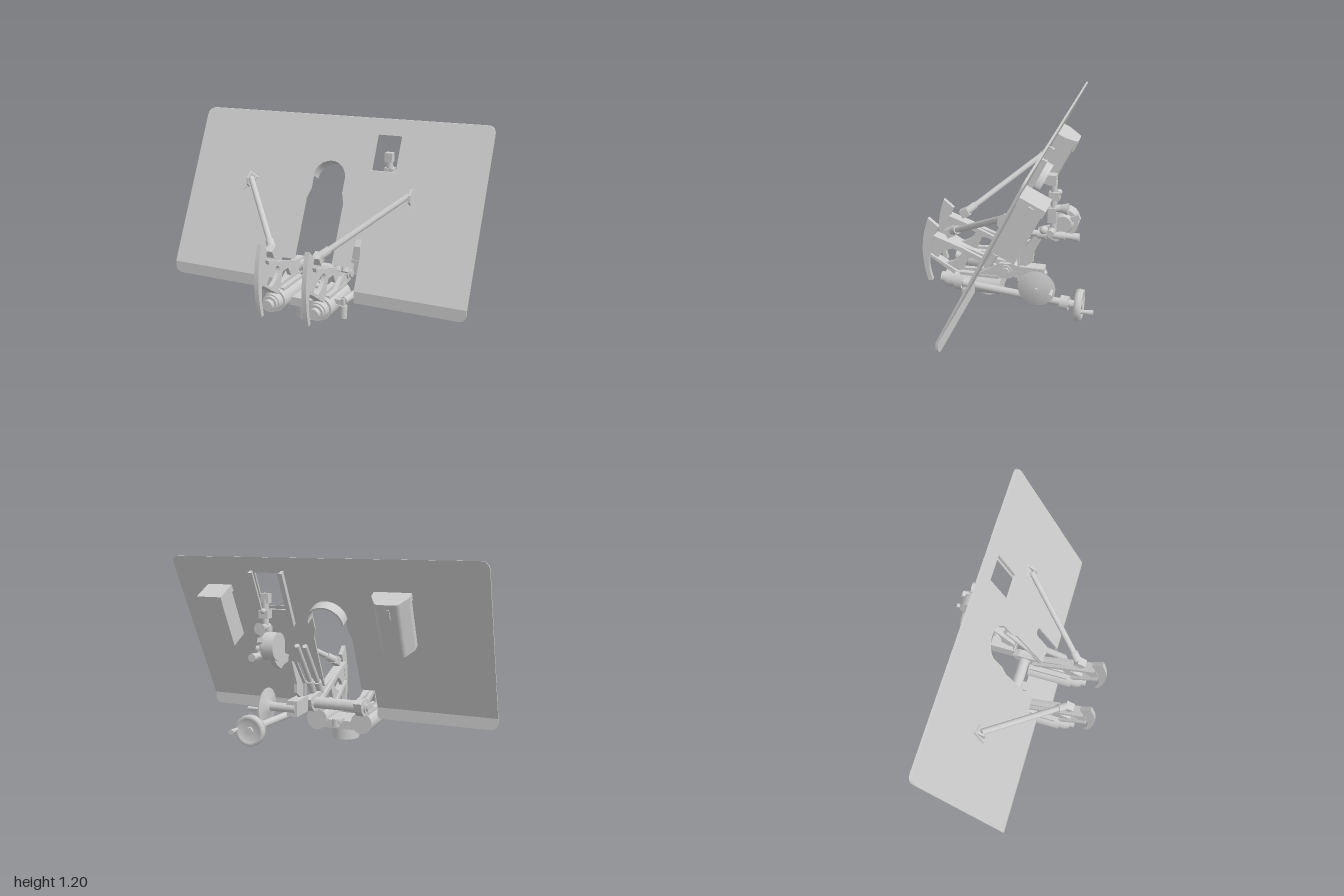
import * as THREE from 'three';

const TILT = 0.459, BEND = 0.216;
const V = (a) => new THREE.Vector3(...a);
const zAt = (y) => 0.195 - Math.max(0, y - BEND) * 0.494; // shield surface depth at a height

export function createModel() {
  const root = new THREE.Group();
  root.name = 'shieldedMount';
  const mat = new THREE.MeshStandardMaterial({ color: 0xcccccc, side: THREE.DoubleSide });

  const add = (name, geo, pos = [0, 0, 0], parent = root) => {
    const m = new THREE.Mesh(geo, mat);
    m.name = name;
    m.position.set(...pos);
    parent.add(m);
    return m;
  };
  const box = (name, size, pos, parent) => add(name, new THREE.BoxGeometry(...size), pos, parent);
  // cylinder between two points
  const rod = (name, a, b, r, r2 = r, sides = 24, parent = root) => {
    const d = V(b).sub(V(a));
    const m = add(name, new THREE.CylinderGeometry(r2, r, d.length(), sides), V(a).add(V(b)).multiplyScalar(0.5).toArray(), parent);
    m.quaternion.setFromUnitVectors(new THREE.Vector3(0, 1, 0), d.normalize());
    return m;
  };
  const poly = (pts) => new THREE.Shape(pts.map((p) => new THREE.Vector2(...p)));
  // shape drawn in (z, y), extruded across x
  const sidePlate = (name, shape, x, t) => {
    const g = new THREE.ExtrudeGeometry(shape, { depth: t, bevelEnabled: false, curveSegments: 12 });
    return add(name, g.translate(0, 0, -t / 2).rotateY(-Math.PI / 2), [x, 0, 0]);
  };
  // shape drawn in (x, y), sheared back to the slope of the shield
  const panel = (name, shape) => {
    const g = new THREE.ExtrudeGeometry(shape, { depth: 0.014, bevelEnabled: false, curveSegments: 16 });
    const p = g.attributes.position;
    for (let i = 0; i < p.count; i++) p.setZ(i, p.getZ(i) - 0.007 + zAt(p.getY(i)));
    g.computeVertexNormals();
    return add(name, g);
  };
  // local frame lying on the shield
  const onShield = (name, x, y) => {
    const g = new THREE.Group();
    g.name = name;
    g.position.set(x, y, zAt(y));
    g.rotation.x = -TILT;
    root.add(g);
    return g;
  };

  // shield
  const s = new THREE.Shape();
  s.moveTo(1, BEND).lineTo(1, 1.145).quadraticCurveTo(1, 1.2, 0.945, 1.2);
  s.lineTo(-0.945, 1.2).quadraticCurveTo(-1, 1.2, -1, 1.145).lineTo(-1, BEND);
  for (const p of [[-0.22, BEND], [-0.22, 0.34], [-0.13, 0.34], [-0.13, 0.69], [-0.11, 0.75], [-0.11, 0.83]]) s.lineTo(...p);
  s.absellipse(0, 0.83, 0.11, 0.1, Math.PI, 0, true);
  for (const p of [[0.11, 0.75], [0.13, 0.69], [0.13, 0.34], [0.25, 0.34], [0.25, 0.477]]) s.lineTo(...p);
  s.absarc(0.2775, 0.477, 0.0275, Math.PI, 0, true);
  s.lineTo(0.305, BEND).lineTo(1, BEND);
  s.holes.push(poly([[0.265, 0.895], [0.265, 1.105], [0.435, 1.105], [0.435, 0.895]]));
  panel('shield', s);
  for (const [sx, inner] of [[1, 0.305], [-1, 0.22]]) {
    const b = new THREE.Shape();
    b.moveTo(sx * inner, BEND).lineTo(sx, BEND).lineTo(sx, 0.19).quadraticCurveTo(sx, 0.14, sx * 0.95, 0.14).lineTo(sx * inner, 0.14);
    panel('shieldLowerLip', b);
  }

  // collar behind the arch of the opening
  const arch = new THREE.Shape();
  arch.absarc(0, 0, 0.122, 0, Math.PI, false);
  arch.absarc(0, 0, 0.11, Math.PI, 0, true);
  add('archCollar', new THREE.ExtrudeGeometry(arch, { depth: 0.08, bevelEnabled: false, curveSegments: 20 }).translate(0, 0, -0.08), [0, 0, 0], onShield('archFrame', 0, 0.83));

  // window slide rails
  const win = onShield('sightWindow', 0.35, 0.95);
  for (const sx of [-1, 1]) {
    box('windowRail', [0.018, 0.38, 0.028], [sx * 0.105, 0, -0.02], win);
    box('windowRailLip', [0.03, 0.38, 0.008], [sx * 0.1, 0, -0.034], win);
  }
  box('windowSill', [0.2, 0.1, 0.008], [0, -0.13, -0.014], win);

  // straight chest on the left
  const chest = onShield('leftChest', 0.705, 0.857);
  box('chestBody', [0.155, 0.34, 0.14], [0, -0.01, -0.083], chest);
  box('chestLid', [0.17, 0.045, 0.155], [0, 0.165, -0.083], chest);
  box('chestLatch', [0.012, 0.075, 0.028], [0.083, 0.09, -0.085], chest);
  box('chestLatchHook', [0.014, 0.04, 0.03], [0.088, 0.15, -0.085], chest);
  // tapered chest on the right
  const chest2 = onShield('rightChest', -0.435, 0.845);
  const trap = (k) => {
    const t = new THREE.Shape();
    t.moveTo(-0.115 * k, 0).lineTo(-0.115 * k, 0.05).lineTo(-0.075 * k, 0.125 * k).quadraticCurveTo(-0.065 * k, 0.14 * k, -0.045 * k, 0.14 * k);
    t.lineTo(0.045 * k, 0.14 * k).quadraticCurveTo(0.065 * k, 0.14 * k, 0.075 * k, 0.125 * k).lineTo(0.115 * k, 0.05).lineTo(0.115 * k, 0);
    return t;
  };
  const prism = (k, h) => new THREE.ExtrudeGeometry(trap(k), { depth: h, bevelEnabled: false }).rotateX(-Math.PI / 2);
  add('chestBody', prism(0.95, 0.32), [0, -0.18, -0.006], chest2);
  add('chestLid', prism(1, 0.045), [0, 0.14, -0.006], chest2);
  box('chestLatch', [0.028, 0.07, 0.012], [0, 0.12, -0.144], chest2);

  // paired sides: recoil-type housings, sector frames and shield stays
  for (const sx of [-1, 1]) {
    const x = sx * 0.155;
    const steps = [[0.05, 0.355, 0.071], [0.355, 0.405, 0.058], [0.405, 0.425, 0.05], [0.425, 0.455, 0.034]];
    for (const [z0, z1, r] of steps) rod('housing', [x, 0.135, z0], [x, 0.135, z1], r);
    box('housingTop', [0.09, 0.05, 0.26], [x, 0.185, 0.19]);

    const blade = new THREE.Shape();
    blade.moveTo(0.53, 0.55);
    blade.splineThru([[0.562, 0.44], [0.576, 0.32], [0.568, 0.2], [0.547, 0.1]].map((p) => new THREE.Vector2(...p)));
    blade.lineTo(0.518, 0.105);
    blade.splineThru([[0.537, 0.2], [0.53, 0.3], [0.508, 0.39]].map((p) => new THREE.Vector2(...p)));
    blade.lineTo(0.463, 0.495);
    sidePlate('sectorBlade', blade, x, 0.028);

    const web = poly([[0.49, 0.435], [0.1, 0.315], [0, 0.305], [-0.045, 0.26], [0, 0.215], [0.12, 0.205], [0.34, 0.185], [0.53, 0.3]]);
    const h1 = new THREE.Path();
    h1.absellipse(0.395, 0.3, 0.09, 0.042, 0, Math.PI * 2, true, -0.5);
    web.holes.push(h1, poly([[0.16, 0.235], [0.2, 0.3], [0.27, 0.3], [0.3, 0.225]]));
    sidePlate('sectorWeb', web, x, 0.026);

    // flanges on the web and the tapered lower knee
    sidePlate('upperFlange', poly([[0.49, 0.442], [0.48, 0.415], [0.09, 0.255], [0.07, 0.275], [0.3, 0.375]]), x, 0.07);
    sidePlate('lowerFlange', poly([[0.52, 0.305], [0.525, 0.29], [0.36, 0.18], [0.32, 0.19]]), x, 0.06);
    sidePlate('trunnionKnee', poly([[0.09, 0.275], [0.06, 0.3], [-0.03, 0.305], [-0.07, 0.29], [-0.05, 0.235], [-0.01, 0.2], [0.2, 0.185], [0.2, 0.21]]), sx * 0.17, 0.05);
    rod('trunnionCap', [sx * 0.13, 0.255, 0.015], [sx * 0.205, 0.255, 0.015], 0.038);
    rod('trunnionNut', [sx * 0.2, 0.255, 0.015], [sx * 0.22, 0.255, 0.015], 0.028, 0.028, 6);

    // stay from sector to shield
    box('stayFork', [0.05, 0.055, 0.06], [x, 0.465, 0.385]).rotation.x = 0.5;
    rod('shieldStay', [sx * 0.16, 0.475, 0.37], [sx * 0.545, 0.78, -0.06], 0.019);
    rod('stayCollar', [sx * 0.16, 0.475, 0.37], [sx * 0.2, 0.507, 0.325], 0.026);
    panel('stayFoot', poly([[sx * 0.5, 0.79], [sx * 0.57, 0.82], [sx * 0.59, 0.71]])).position.z = 0.012;
    sidePlate('stayGusset', poly([[zAt(0.815), 0.815], [zAt(0.72), 0.72], [-0.03, 0.745], [-0.035, 0.785], [-0.07, 0.815]]), sx * 0.56, 0.014);
  }

  // pedestal and cross members
  const ring = [[0.075, 0], [0.09, 0], [0.09, 0.085], [0, 0.085], [0, 0.07], [0.075, 0.07], [0.075, 0]];
  for (let i = 1; i < ring.length; i++)
    add('pedestal', new THREE.LatheGeometry([ring[i - 1], ring[i]].map((p) => new THREE.Vector2(...p)), 32), [0, 0, 0.18]);
  box('baseBlock', [0.22, 0.055, 0.21], [0, 0.11, 0.165]);
  rod('crossTube', [-0.15, 0.257, 0.01], [0.15, 0.257, 0.01], 0.037);
  rod('lowerBolt', [0, 0.115, 0.0], [0, 0.165, 0.0], 0.026, 0.026, 8);
  box('lowerBoltArm', [0.06, 0.02, 0.09], [0, 0.145, 0.03]);

  // traversing shaft with handwheel
  rod('traverseShaft', [0.27, 0.175, 0.27], [0.355, 0.175, -0.37], 0.023);
  rod('shaftPost', [0.27, 0.065, 0.27], [0.27, 0.145, 0.27], 0.022);
  rod('shaftPostNeck', [0.27, 0.14, 0.27], [0.27, 0.19, 0.27], 0.014);
  box('shaftBracket', [0.08, 0.03, 0.06], [0.235, 0.165, 0.25]);
  rod('shaftHub', [0.355, 0.175, -0.365], [0.36, 0.175, -0.415], 0.043);
  rod('shaftNeck', [0.36, 0.175, -0.41], [0.36, 0.175, -0.5], 0.024);
  const rim = [[0.02, -0.008], [0.065, -0.008], [0.072, -0.022], [0.093, -0.022], [0.096, 0], [0.093, 0.022], [0.072, 0.022], [0.065, 0.008], [0.02, 0.008]];
  add('traverseWheel', new THREE.LatheGeometry(rim.map((p) => new THREE.Vector2(...p)), 32).rotateX(Math.PI / 2), [0.36, 0.175, -0.478]);
  rod('wheelHandle', [0.44, 0.178, -0.49], [0.44, 0.18, -0.572], 0.011, 0.016);

  // elevating disc with crank knob
  const lens = [[0, -0.03], [0.035, -0.03], [0.04, -0.012], [0.115, -0.005], [0.115, 0.005], [0.04, 0.018], [0, 0.02]];
  add('elevatingDisc', new THREE.LatheGeometry(lens.map((p) => new THREE.Vector2(...p)), 40).rotateZ(-Math.PI / 2), [0.38, 0.265, -0.22]);
  rod('discShaft', [0.18, 0.265, -0.22], [0.37, 0.265, -0.22], 0.028);
  rod('discNut', [0.395, 0.265, -0.22], [0.412, 0.265, -0.22], 0.013, 0.013, 6);
  rod('discKnob', [0.38, 0.265, -0.315], [0.46, 0.265, -0.315], 0.01, 0.013);
  box('gearCase', [0.07, 0.1, 0.17], [0.2, 0.265, -0.15]);

  // sight support arm and parallel rods
  const arm = [[-0.205, 0.56], [-0.24, 0.57], [-0.165, 0.41], [-0.165, 0.35], [-0.08, 0.29], [-0.07, 0.3], [-0.07, 0.4]];
  sidePlate('sightArm', poly(arm), 0.205, 0.02);
  sidePlate('sightArmFlange', poly([[-0.2, 0.56], [-0.21, 0.565], [-0.08, 0.4], [-0.08, 0.3], [-0.07, 0.3], [-0.07, 0.405]]), 0.205, 0.06);
  for (const x of [0.16, 0.215]) {
    rod('linkRod', [x, 0.33, 0.115], [x, 0.645, -0.12], 0.017);
    rod('linkSleeve', [x, 0.3, 0.125], [x, 0.38, 0.077], 0.025);
  }

  // sight: drum, telescope, column and eyepiece
  rod('sightDrum', [0.22, 0.675, -0.36], [0.3, 0.675, -0.36], 0.085, 0.085, 32);
  rod('drumCap', [0.3, 0.675, -0.36], [0.325, 0.675, -0.36], 0.06, 0.05);
  box('drumLever', [0.03, 0.03, 0.07], [0.3, 0.71, -0.42]).rotation.x = 0.4;
  sidePlate('sightHook', poly([[-0.2, 0.6], [-0.21, 0.56], [-0.27, 0.55], [-0.31, 0.53], [-0.36, 0.56], [-0.4, 0.6], [-0.33, 0.65]]), 0.25, 0.035);
  rod('telescope', [0.35, 0.615, -0.16], [0.35, 0.615, -0.44], 0.019);
  for (const [z0, z1, r] of [[-0.15, -0.175, 0.027], [-0.22, -0.27, 0.03], [-0.34, -0.38, 0.024], [-0.425, -0.462, 0.024]])
    rod('telescopeRing', [0.35, 0.615, z0], [0.35, 0.615, z1], r);
  add('sightJoint', new THREE.SphereGeometry(0.026, 20, 14), [0.36, 0.645, -0.255]);
  rod('sightCrossPin', [0.22, 0.64, -0.3], [0.4, 0.64, -0.3], 0.022);
  rod('sightColumn', [0.335, 0.62, -0.305], [0.335, 0.95, -0.305], 0.02);
  box('columnBlock', [0.06, 0.05, 0.06], [0.335, 0.86, -0.31]);
  box('columnHead', [0.05, 0.06, 0.05], [0.335, 0.955, -0.295]);
  box('columnSlide', [0.06, 0.09, 0.05], [0.335, 0.74, -0.3]);
  rod('eyepiece', [0.335, 0.78, -0.27], [0.335, 0.78, -0.345], 0.022);
  rod('eyepieceCup', [0.335, 0.78, -0.34], [0.335, 0.78, -0.39], 0.018, 0.036);
  add('columnKnob', new THREE.SphereGeometry(0.018, 16, 12), [0.335, 0.88, -0.335]);

  return root;
}
